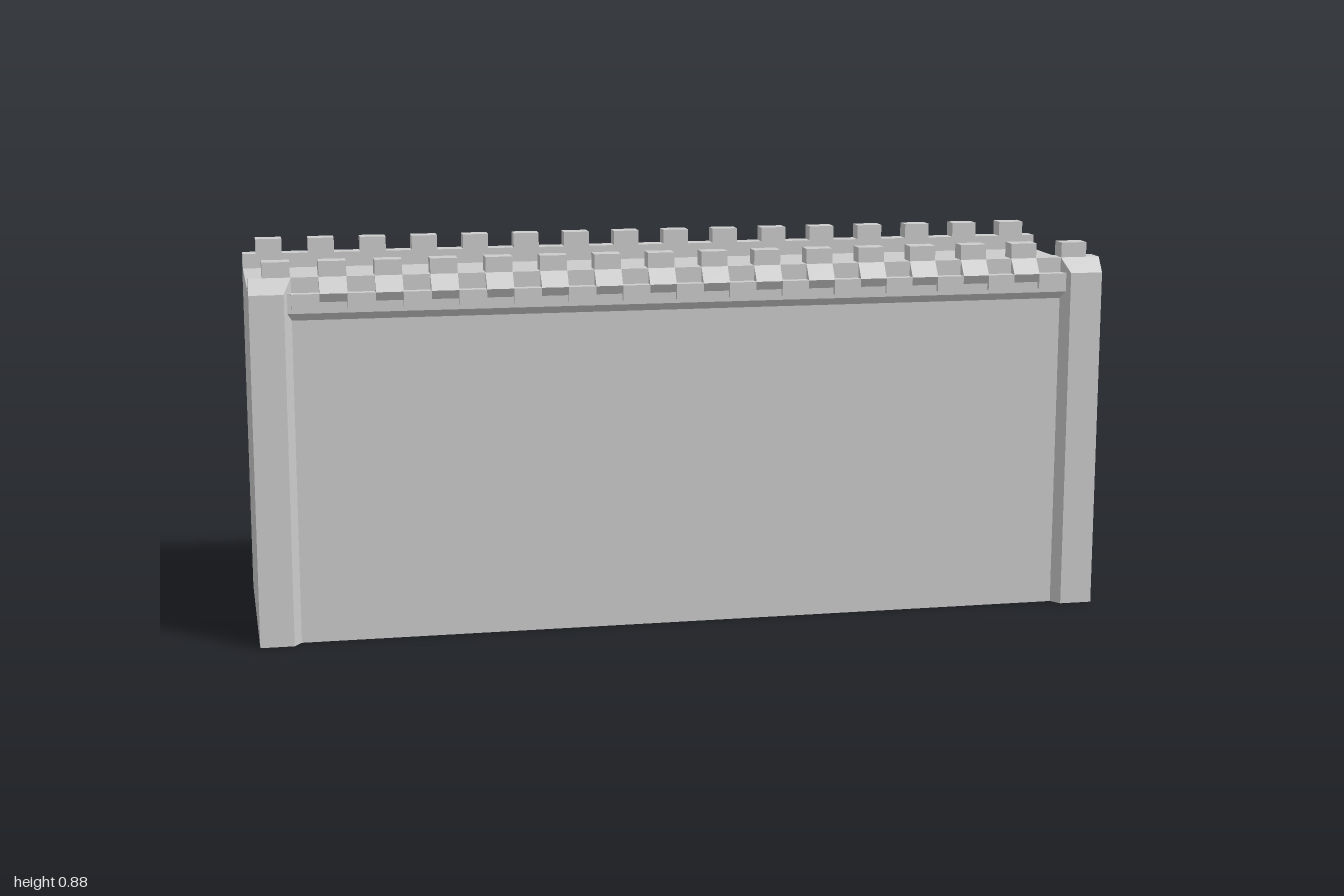
import * as THREE from 'three';

const material = new THREE.MeshStandardMaterial({ color: 0xcccccc, flatShading: true });

// Prism with a [z, y] profile, running along x between x0 and x1
function prism(points, x0, x1) {
  const shape = new THREE.Shape(points.map(([z, y]) => new THREE.Vector2(z, y)));
  const geo = new THREE.ExtrudeGeometry(shape, { depth: x1 - x0, bevelEnabled: false });
  geo.rotateY(-Math.PI / 2);
  geo.translate(x1, 0, 0);
  return geo;
}

export function createModel() {
  const model = new THREE.Group();
  const add = (name, geo, parent = model) => {
    const mesh = new THREE.Mesh(geo, material);
    mesh.name = name;
    parent.add(mesh);
    return mesh;
  };

  // Wall body with the walkway on top
  add('wallBody', prism([[-0.25, 0], [0.25, 0], [0.25, 0.81], [-0.25, 0.81]], -1, 1));

  // Parapets along both sides; the back one flares out over the wall
  add('frontParapet', prism([[0.205, 0.81], [0.25, 0.81], [0.25, 0.845], [0.205, 0.845]], -1, 1));
  add('backParapet', prism([[-0.197, 0.81], [-0.197, 0.845], [-0.24, 0.845], [-0.25, 0.84], [-0.25, 0.81]], -1, 1));
  add('backOverhang', prism([[-0.24, 0.845], [-0.265, 0.832], [-0.25, 0.772], [-0.24, 0.772]], -0.93, 0.93));

  // Ledge under the front parapet
  add('frontLedge', prism([[0.24, 0.748], [0.25, 0.748], [0.264, 0.765], [0.264, 0.81], [0.24, 0.81]], -0.92, 0.92));

  // Corner pilasters with splayed inner sides
  const pilasters = {
    frontPilaster: [[0.25, 0], [0.275, 0], [0.275, 0.81], [0.25, 0.845]],
    backPilaster: [[-0.24, 0], [-0.24, 0.845], [-0.265, 0.832], [-0.275, 0.79], [-0.275, 0]],
  };
  for (const [name, profile] of Object.entries(pilasters)) {
    for (const side of [-1, 1]) {
      const geo = side > 0 ? prism(profile, 0.905, 1) : prism(profile, -1, -0.905);
      const pos = geo.attributes.position;
      for (let i = 0; i < pos.count; i++) {
        if (Math.abs(pos.getX(i)) < 0.95) {
          const out = Math.max(0, Math.abs(pos.getZ(i)) - 0.25);
          pos.setX(i, side * (0.905 + out * 0.7));
        }
      }
      geo.computeVertexNormals();
      add(name, geo);
    }
  }

  // Merlons, with sloped blocks and square corbels alternating below the front row
  const count = 16, step = 0.125, half = 0.031;
  const slope = [[0.25, 0.79], [0.264, 0.79], [0.275, 0.81], [0.25, 0.845]];
  const corbel = [[0.25, 0.775], [0.275, 0.775], [0.275, 0.81], [0.25, 0.81]];
  for (let i = 0; i < count; i++) {
    const x = (i - (count - 1) / 2) * step;
    for (const [name, z] of [['frontMerlon', 0.2275], ['backMerlon', -0.2185]]) {
      add(name, new THREE.BoxGeometry(half * 2, 0.035, 0.043)).position.set(x, 0.8625, z);
    }
    if (i > 0 && i < count - 1) add('slopedBlock', prism(slope, x - half, x + half));
    if (i < count - 1) add('corbel', prism(corbel, x + half, x + step - half));
  }
  return model;
}
